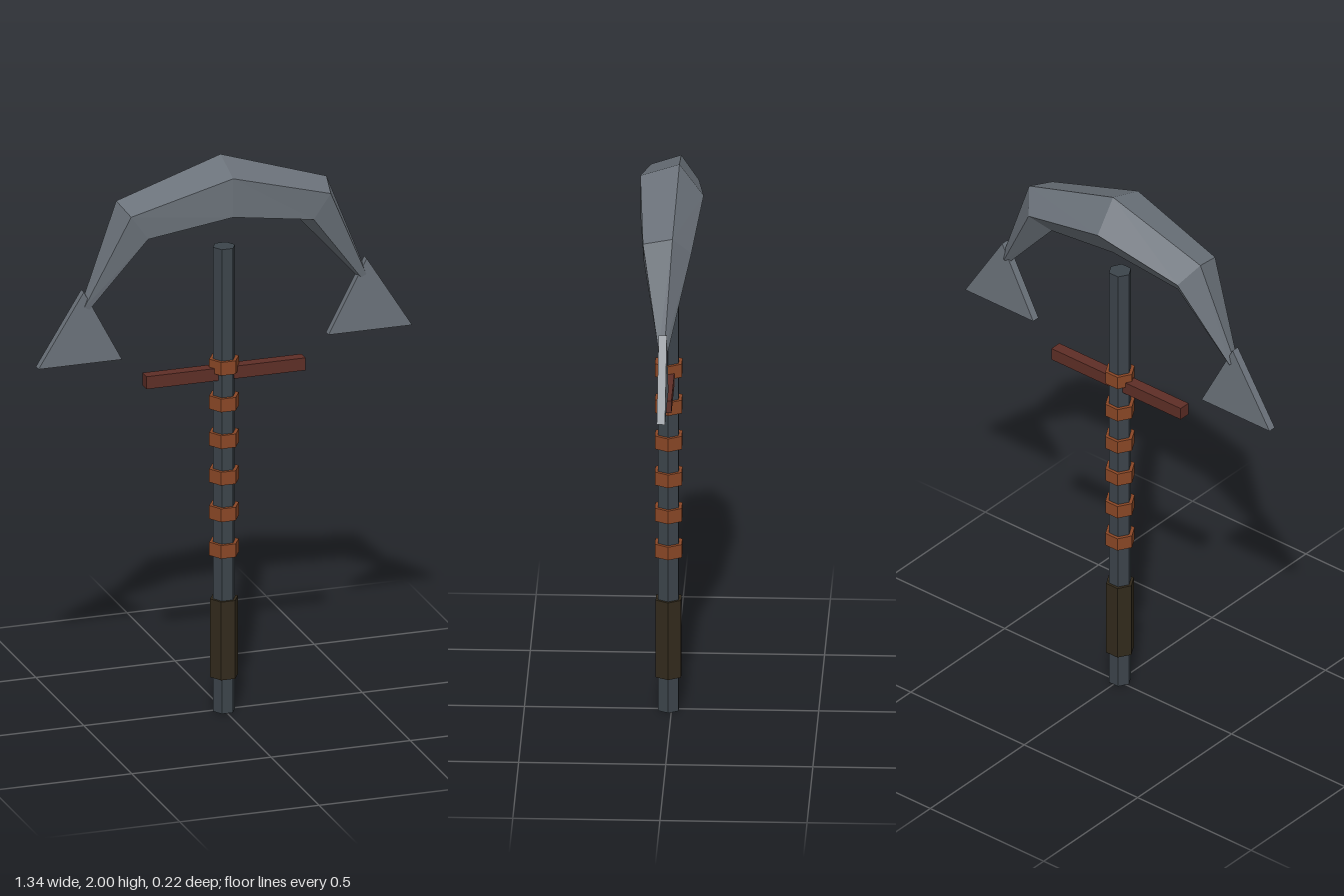
import * as THREE from 'three';

export function createModel() {
  const model = new THREE.Group();
  model.name = 'anchorPick';
  const Z = 0.01; // depth of the shaft axis

  const flat = (name, color) => {
    const m = new THREE.MeshStandardMaterial({ color });
    m.name = name;
    m.flatShading = true;
    return m;
  };
  const steel = flat('steel', 0x6b727a);
  const darkIron = flat('darkIron', 0x3c444b);
  const leather = flat('darkLeather', 0x322a1c);
  const copper = flat('copperBand', 0x8a4726);
  const redWood = flat('redWood', 0x5e2e26);

  const add = (name, geometry, material, x, y) => {
    const mesh = new THREE.Mesh(geometry, material);
    mesh.name = name;
    mesh.position.set(x, y, Z);
    model.add(mesh);
    return mesh;
  };

  // Six-sided rod with corners pointing left and right
  const hexRod = (name, radius, y0, y1, material) =>
    add(name, new THREE.CylinderGeometry(radius, radius, y1 - y0, 6).rotateY(Math.PI / 6),
      material, 0, (y0 + y1) / 2);

  // Handle
  hexRod('shaft', 0.04, 0, 1.68, darkIron);
  hexRod('grip', 0.05, 0.125, 0.408, leather);
  for (let i = 0; i < 6; i++) {
    const y = 0.59 + i * 0.1325;
    hexRod('band' + (i + 1), 0.053, y - 0.024, y + 0.024, copper);
  }
  add('crossbar', new THREE.BoxGeometry(0.57, 0.045, 0.042), redWood, 0, 1.225);

  // Curved head: tapering five-sided sections [x, y, radius, outward x, outward y]
  const half = [
    [0.328, 1.808, 0.0905, 0.577, 0.816],
    [0.497, 1.517, 0.018, 0.9, 0.436],
  ];
  const mirror = ([x, y, r, nx, ny]) => [-x, y, r, -nx, ny];
  const sections = [mirror(half[1]), mirror(half[0]), [0, 1.886, 0.119, 0, 1], ...half];
  const positions = [];
  const index = [];
  const SIDES = 5;
  for (const [x, y, r, nx, ny] of sections) {
    for (let j = 0; j < SIDES; j++) {
      const a = Math.PI / 5 + (j * Math.PI * 2) / SIDES;
      const out = Math.sin(a) * r;
      positions.push(x + nx * out, y + ny * out, Math.cos(a) * r);
    }
  }
  for (let i = 0; i < sections.length - 1; i++) {
    for (let j = 0; j < SIDES; j++) {
      const a = i * SIDES + j;
      const b = i * SIDES + ((j + 1) % SIDES);
      index.push(a, a + SIDES, b, b, a + SIDES, b + SIDES);
    }
  }
  const last = (sections.length - 1) * SIDES;
  for (let j = 1; j < SIDES - 1; j++) {
    index.push(0, j, j + 1, last, last + j + 1, last + j);
  }
  const headGeometry = new THREE.BufferGeometry();
  headGeometry.setAttribute('position', new THREE.Float32BufferAttribute(positions, 3));
  headGeometry.setIndex(index);
  headGeometry.computeVertexNormals();
  add('curvedHead', headGeometry, steel, 0, 0);

  // Triangular barbs at both tips
  for (const side of [1, -1]) {
    const shape = new THREE.Shape([
      new THREE.Vector2(side * 0.371, 1.318),
      new THREE.Vector2(side * 0.671, 1.318),
      new THREE.Vector2(side * 0.508, 1.578),
    ]);
    const geometry = new THREE.ExtrudeGeometry(shape, { depth: 0.028, bevelEnabled: false });
    geometry.translate(0, 0, -0.014);
    add(side > 0 ? 'leftBarb' : 'rightBarb', geometry, steel, 0, 0);
  }

  return model;
}
